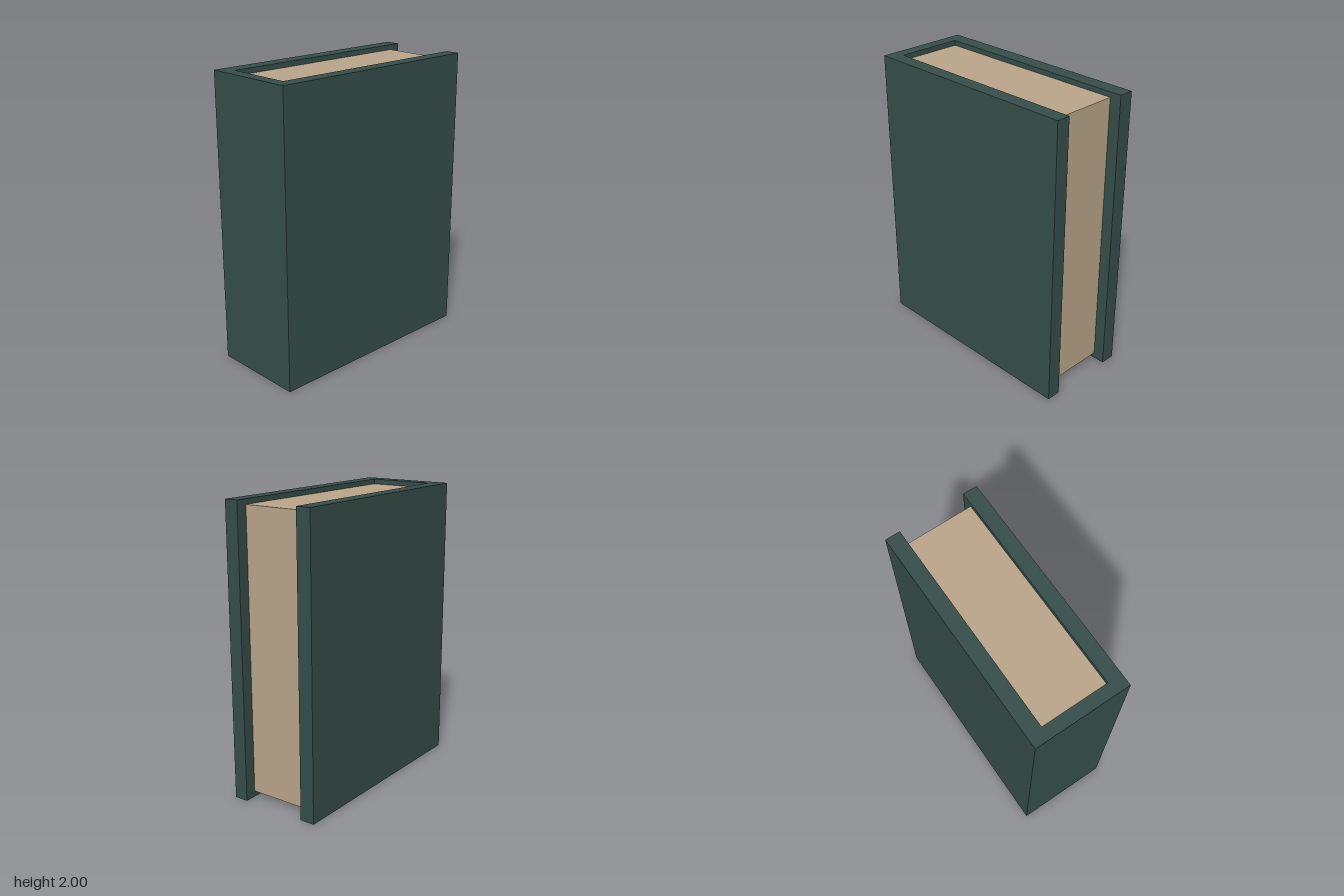
import * as THREE from 'three';

export function createModel() {
  const group = new THREE.Group();
  group.name = 'book';

  const coverGreen = new THREE.MeshStandardMaterial({ color: 0x364f4a });
  coverGreen.name = 'coverGreen';
  const paper = new THREE.MeshStandardMaterial({ color: 0xbaa68b });
  paper.name = 'paper';

  // Box spanning two opposite corners
  function addBox(name, material, [x0, y0, z0], [x1, y1, z1]) {
    const mesh = new THREE.Mesh(new THREE.BoxGeometry(x1 - x0, y1 - y0, z1 - z0), material);
    mesh.position.set((x0 + x1) / 2, (y0 + y1) / 2, (z0 + z1) / 2);
    mesh.name = name;
    group.add(mesh);
  }

  const halfWidth = 0.785, halfDepth = 0.33, height = 2;
  const spineInner = -0.7, frontInner = 0.232, backInner = -0.227;

  // Boards and the spine joining them
  addBox('frontCover', coverGreen, [-halfWidth, 0, frontInner], [halfWidth, height, halfDepth]);
  addBox('backCover', coverGreen, [-halfWidth, 0, -halfDepth], [halfWidth, height, backInner]);
  addBox('spine', coverGreen, [-halfWidth, 0, backInner], [spineInner, height, frontInner]);

  // Page block, recessed from the cover on its three open sides
  addBox('pages', paper, [spineInner, 0.04, backInner], [0.705, 1.965, frontInner]);

  return group;
}
